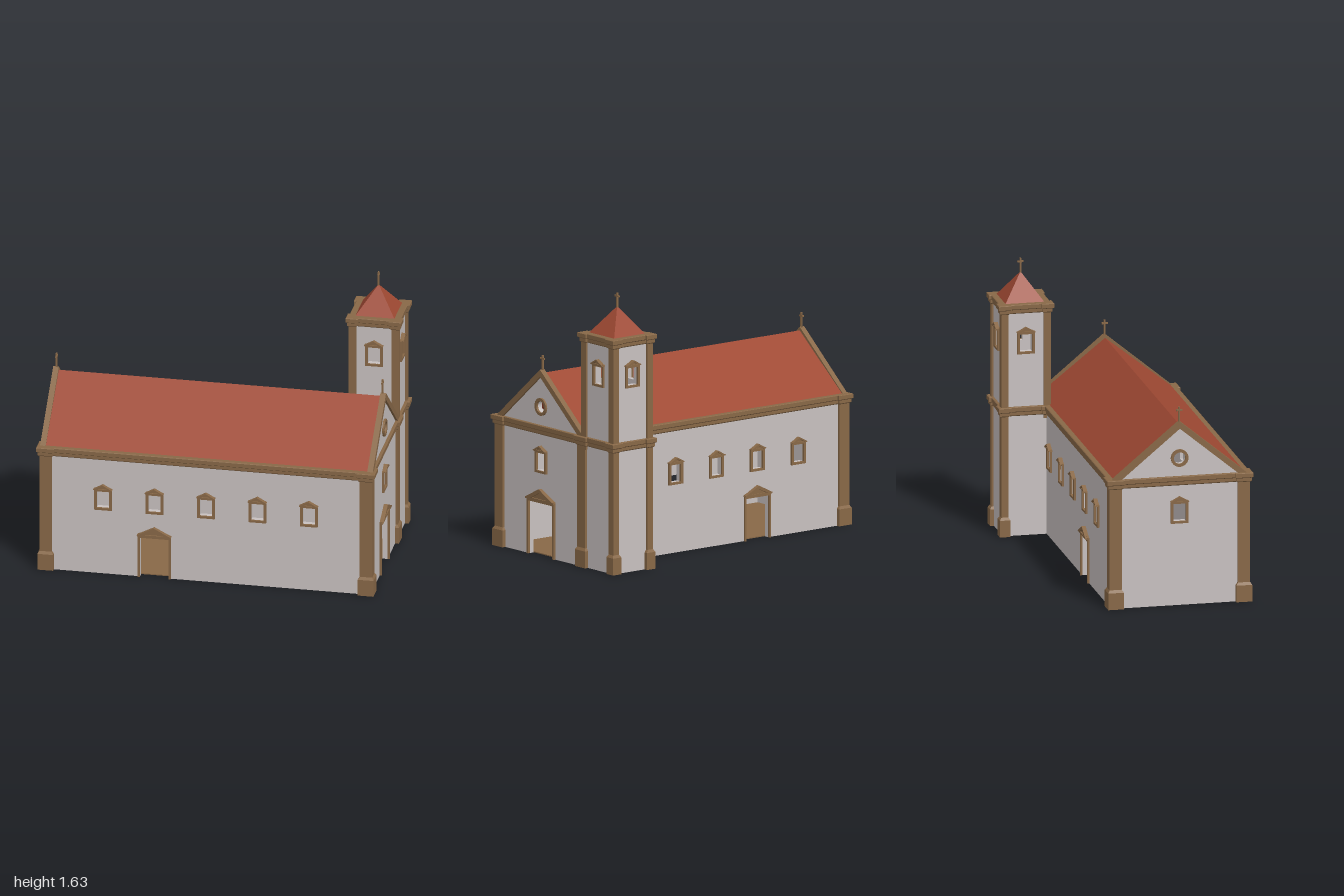
import * as THREE from 'three';

const wallMat = new THREE.MeshStandardMaterial({ color: 0xc8c1c0, name: 'plaster' });
const trimMat = new THREE.MeshStandardMaterial({ color: 0x886847, name: 'brownStone' });
const roofMat = new THREE.MeshStandardMaterial({ color: 0x9e4832, name: 'redTile' });

function add(parent, name, geometry, material, x = 0, y = 0, z = 0) {
  const mesh = new THREE.Mesh(geometry, material);
  mesh.name = name;
  mesh.position.set(x, y, z);
  parent.add(mesh);
  return mesh;
}

const polygon = (pts, Type = THREE.Shape) => new Type(pts.map(([x, y]) => new THREE.Vector2(x, y)));
const extrude = (shape, depth) =>
  new THREE.ExtrudeGeometry(shape, { depth, bevelEnabled: false, curveSegments: 12 });
const rect = (u, y, w, h) => [[u - w / 2, y], [u + w / 2, y], [u + w / 2, y + h], [u - w / 2, y + h]];
// Inverted V, t thick measured vertically
const chevron = (half, low, peak, t) => {
  const inner = half * (1 - t / (peak - low));
  return polygon([[-half, low], [-inner, low], [0, peak - t], [inner, low], [half, low], [0, peak]]);
};

// Joins equal cross-sections [x, z] stacked at given heights; optional fan caps at the last point
function loft(rings, caps) {
  const n = rings[0].pts.length, pos = [], idx = [];
  rings.forEach(r => r.pts.forEach(([x, z]) => pos.push(x, r.y, z)));
  for (let r = 0; r < rings.length - 1; r++) {
    for (let i = 0; i < n; i++) {
      const a = r * n + i, b = r * n + (i + 1) % n;
      idx.push(a, a + n, b + n, a, b + n, b);
    }
  }
  if (caps) {
    const top = (rings.length - 1) * n;
    for (let i = 0; i < n - 2; i++) {
      idx.push(n - 1, i, i + 1, top + n - 1, top + i + 1, top + i);
    }
  }
  const g = new THREE.BufferGeometry();
  g.setAttribute('position', new THREE.Float32BufferAttribute(pos, 3));
  g.setIndex(idx);
  const flat = g.toNonIndexed();
  flat.computeVertexNormals();
  return flat;
}

const corners = [[1, 1], [-1, 1], [-1, -1], [1, -1]];
const P = 0.013; // how far pilasters stand out from the wall

// Stepped outline of one corner, grown by d; w is the pilaster width
function cornerPoints(hx, hz, w, d, [sx, sz], wallOffset) {
  const ox = hx + P + d, oz = hz + P + d;
  const ix = hx + P - w - d, iz = hz + P - w - d;
  const pts = [[hx + wallOffset, iz], [ox, iz], [ox, oz], [ix, oz], [ix, hz + wallOffset]]
    .map(([x, z]) => [x * sx, z * sz]);
  return sx * sz > 0 ? pts : pts.reverse();
}

// Moulded band that breaks forward over the corner pilasters
function cornice(parent, hx, hz, w, y) {
  const profile = [[0, -0.02], [0, 0.002], [0.006, 0.008], [0.024, 0.008], [0.03, 0.017], [0.053, 0.017], [0.056, 0.013], [0.056, -0.03]];
  const rings = profile.map(([dy, d]) => ({
    y: y + dy,
    pts: corners.flatMap(c => cornerPoints(hx, hz, w, d, c, d)),
  }));
  add(parent, 'cornice', loft(rings), trimMat);
}

// L-shaped corner pilaster with a chamfered plinth
function pilaster(parent, hx, hz, w, c, y0, y1) {
  const rows = y0 > 0 ? [[y0, 0], [y1, 0]] : [[0, 0.01], [0.1, 0.01], [0.116, 0], [y1, 0]];
  const rings = rows.map(([y, d]) => ({
    y,
    pts: [...cornerPoints(hx, hz, w, d, c, -0.01), [(hx - 0.01) * c[0], (hz - 0.01) * c[1]]],
  }));
  add(parent, 'cornerPilaster', loft(rings, true), trimMat);
}

// Surround of a window or door with a small pediment; y is the foot
function surround(parent, o, r) {
  const hw = o.w / 2 + o.frame, eave = o.y + o.h + o.head;
  const shape = polygon([[-hw, o.y], [hw, o.y], [hw, eave], [0, eave + o.rise - 0.006], [-hw, eave]]);
  const sill = o.door ? 0 : 0.013;
  shape.holes.push(polygon(rect(0, o.y + sill + (o.door ? 0.0005 : 0), o.w, o.h - sill), THREE.Path));
  const frame = o.door
    ? polygon([[-hw, 0], [-o.w / 2, 0], [-o.w / 2, o.h], [o.w / 2, o.h], [o.w / 2, 0], [hw, 0],
      [hw, eave], [0, eave + o.rise - 0.006], [-hw, eave]])
    : shape;
  const name = o.door ? 'door' : 'window';
  add(parent, name + 'Frame', extrude(frame, 0.014), trimMat, o.u, 0, r - 0.002);
  add(parent, name + 'Pediment', extrude(chevron(hw + 0.004, eave - 0.004, eave + o.rise, o.rise * 0.4), 0.026), trimMat, o.u, 0, r - 0.002);
  add(parent, name + 'Lintel', new THREE.BoxGeometry(hw * 2 + 0.004, o.head * 0.45, 0.022), trimMat, o.u, eave - o.head * 0.25, r + 0.009);
}

const windowAt = (u, y) => ({ u, y, w: 0.074, h: 0.118, frame: 0.015, head: 0.017, rise: 0.027 });
const smallDoor = u => ({ u, y: 0, w: 0.17, h: 0.25, frame: 0.012, head: 0.022, rise: 0.048, door: true });
const bigDoor = { u: 0, y: 0, w: 0.224, h: 0.315, frame: 0.014, head: 0.024, rise: 0.06, door: true };

// One wall facing outward at distance r, turned by angle a
function wall(parent, name, a, r, half, top, openings, apex) {
  const side = new THREE.Group();
  side.name = name;
  side.rotation.y = a;
  parent.add(side);
  const pts = [[-half, 0]];
  openings.filter(o => o.door).forEach(o =>
    pts.push([o.u - o.w / 2, 0], [o.u - o.w / 2, o.h], [o.u + o.w / 2, o.h], [o.u + o.w / 2, 0]));
  pts.push([half, 0], [half, top]);
  if (apex) pts.push([0, apex]);
  pts.push([-half, top]);
  const shape = polygon(pts);
  openings.filter(o => !o.door).forEach(o =>
    shape.holes.push(polygon(rect(o.u, o.y + 0.013, o.w, o.h - 0.013), THREE.Path)));
  if (apex) shape.holes.push(new THREE.Path().absarc(0, 0.885, 0.036, 0, Math.PI * 2, true));
  add(side, 'wallPanel', extrude(shape, 0.03), wallMat, 0, 0, r - 0.03);
  openings.forEach(o => surround(side, o, r));
  return side;
}

function cross(parent, x, y, z, h) {
  add(parent, 'crossPost', new THREE.BoxGeometry(0.01, h, 0.01), trimMat, x, y + h / 2, z);
  add(parent, 'crossArm', new THREE.BoxGeometry(0.01, 0.01, 0.036), trimMat, x, y + h - 0.02, z);
}

function buildNave() {
  const nave = new THREE.Group();
  nave.name = 'nave';
  const hx = 0.97, hz = 0.405, w = 0.073;
  const row = [-0.608, -0.304, 0, 0.304, 0.608].map(u => windowAt(u, 0.405));
  wall(nave, 'frontWall', 0, hz, hx, 0.765, [...row, smallDoor(-0.305)]);
  wall(nave, 'backWall', Math.PI, hz, hx, 0.765, [...row, smallDoor(0.305)]);

  // Gable ends: raking trim, round window and cross
  for (const s of [1, -1]) {
    const openings = [windowAt(0, 0.493)];
    if (s > 0) openings.push(bigDoor);
    const end = wall(nave, s > 0 ? 'entranceWall' : 'farEndWall', s * Math.PI / 2, hx, hz, 0.755, openings, 1.085);
    add(end, 'gableTrim', extrude(chevron(0.405, 0.77, 1.106, 0.043), 0.033), trimMat, 0, 0, 0.95);
    const ring = new THREE.Shape().absarc(0, 0.885, 0.052, 0, Math.PI * 2, false);
    ring.holes.push(new THREE.Path().absarc(0, 0.885, 0.035, 0, Math.PI * 2, true));
    add(end, 'roundWindowFrame', extrude(ring, 0.014), trimMat, 0, 0, hx - 0.002);
    cross(nave, s * 0.963, 1.09, 0, 0.1);
  }

  corners.forEach(c => pilaster(nave, hx, hz, w, c, 0, 0.735));
  cornice(nave, hx, hz, w, 0.72);
  const roof = add(nave, 'naveRoof', extrude(chevron(0.4, 0.768, 1.085, 0.014), 1.92), roofMat, -0.96, 0, 0);
  roof.rotation.y = Math.PI / 2;
  add(nave, 'floor', new THREE.BoxGeometry(1.88, 0.006, 0.75), trimMat, 0, 0.004, 0);
  return nave;
}

function buildTower() {
  const tower = new THREE.Group();
  tower.name = 'bellTower';
  const h = 0.135, w = 0.042;
  for (let i = 0; i < 4; i++) {
    wall(tower, 'towerWall', i * Math.PI / 2, h, h, 1.38, [windowAt(0, 1.092)]);
  }
  // Pilasters on the nave side only appear above the eaves
  corners.forEach(c => pilaster(tower, h, h, w, c, c[1] > 0 ? 0.7 : 0, 1.35));
  cornice(tower, h, h, w, 0.72);
  cornice(tower, h, h, w, 1.335);
  const cap = new THREE.ConeGeometry(0.13 * Math.SQRT2, 0.18, 4).toNonIndexed();
  cap.rotateY(Math.PI / 4);
  cap.computeVertexNormals();
  add(tower, 'towerRoof', cap, roofMat, 0, 1.46, 0);
  cross(tower, 0, 1.53, 0, 0.1);
  return tower;
}

export function createModel() {
  const model = new THREE.Group();
  model.name = 'church';
  const nave = buildNave();
  nave.position.z = 0.13;
  const tower = buildTower();
  tower.position.set(0.835, 0, -0.4);
  model.add(nave, tower);
  return model;
}
